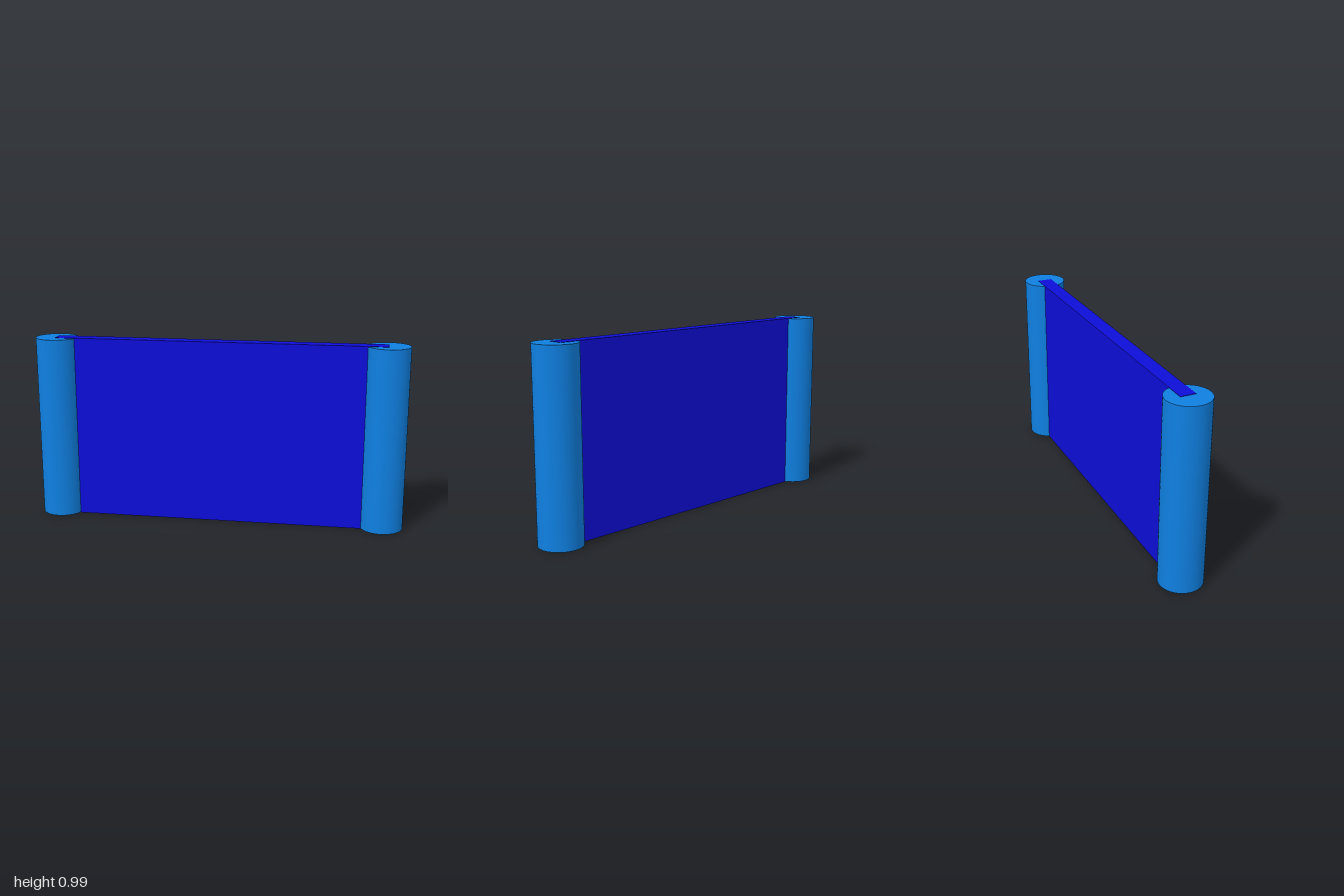
import * as THREE from 'three';

const HEIGHT = 0.99;
const POST_RADIUS = 0.114;
const POST_X = 1 - POST_RADIUS;
const PANEL_DEPTH = 0.08;
const LIP = 0.002; // the panel stands slightly proud of the post ends

export function createModel() {
  const postBlue = new THREE.MeshStandardMaterial({ color: 0x0f7fe0 });
  postBlue.name = 'postBlue';
  const panelBlue = new THREE.MeshStandardMaterial({ color: 0x0d0dd8 });
  panelBlue.name = 'panelBlue';

  const model = new THREE.Group();
  model.name = 'wallSegment';

  // Flat panel running between the post centres
  const panel = new THREE.Mesh(new THREE.BoxGeometry(POST_X * 2, HEIGHT, PANEL_DEPTH), panelBlue);
  panel.name = 'panel';
  panel.position.y = HEIGHT / 2;
  model.add(panel);

  // Round post at each end
  const postGeometry = new THREE.CylinderGeometry(POST_RADIUS, POST_RADIUS, HEIGHT - 2 * LIP, 48);
  for (const side of [1, -1]) {
    const post = new THREE.Mesh(postGeometry, postBlue);
    post.name = side > 0 ? 'leftPost' : 'rightPost';
    post.position.set(side * POST_X, HEIGHT / 2, 0);
    model.add(post);
  }

  return model;
}
